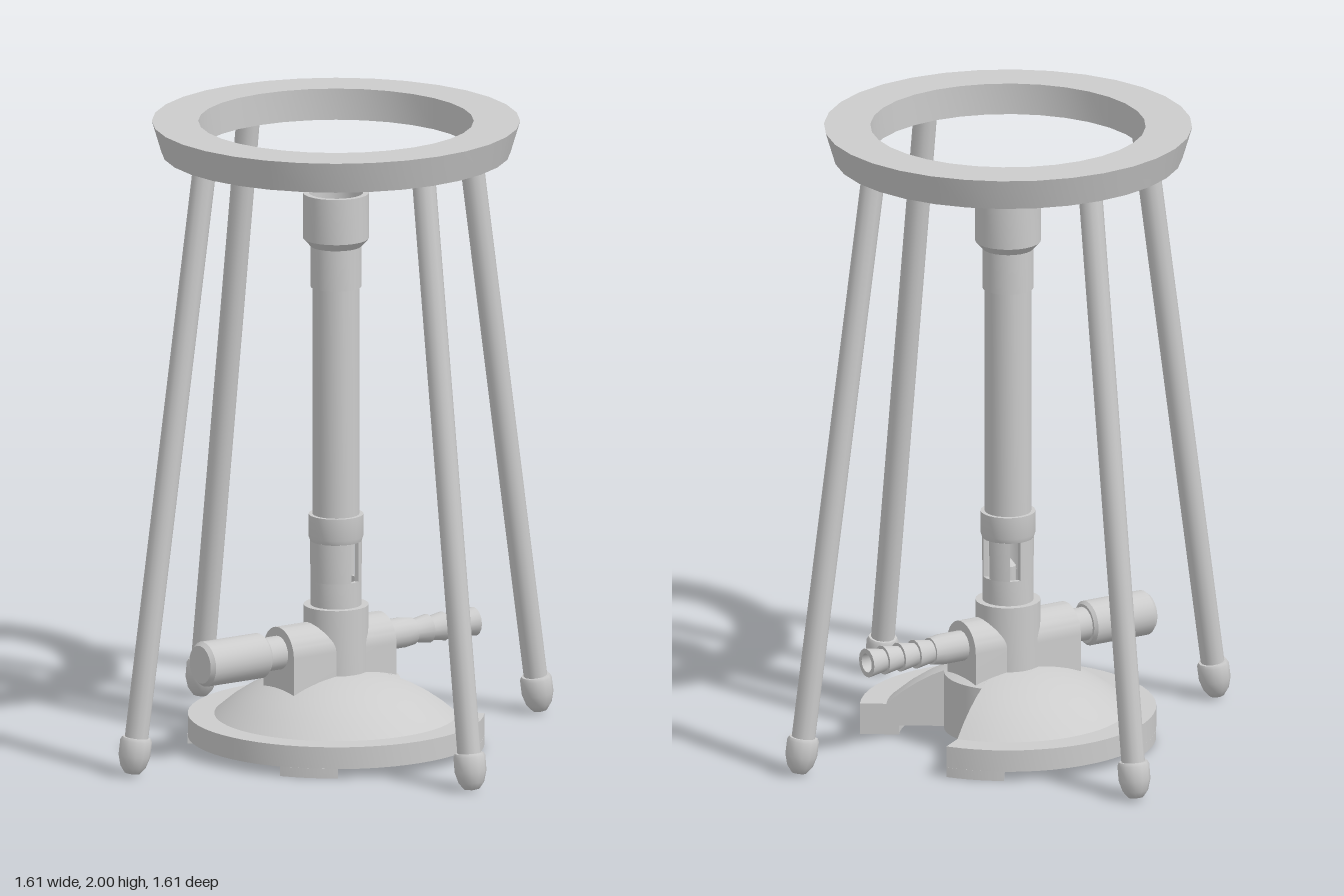
import * as THREE from 'three';
import { toCreasedNormals } from 'three/addons/utils/BufferGeometryUtils.js';

const rad = THREE.MathUtils.degToRad;
const material = new THREE.MeshStandardMaterial({ color: 0xcccccc, side: THREE.DoubleSide });

function mesh(name, geometry, parent, crease = 0.6) {
  const m = new THREE.Mesh(toCreasedNormals(geometry, crease), material);
  m.name = name;
  parent.add(m);
  return m;
}

// Revolve [radius, height] pairs; profiles run bottom outside to top
function lathe(profile, segments = 24, start = 0, length = Math.PI * 2) {
  return new THREE.LatheGeometry(profile.map(([r, y]) => new THREE.Vector2(r, y)), segments, start, length);
}

// Flat ring sector lying in the ground plane, extruded upwards
function sector(inner, outer, from, to, height) {
  const s = new THREE.Shape();
  s.absarc(0, 0, outer, from, to, false);
  s.absarc(0, 0, inner, to, from, true);
  s.closePath();
  return new THREE.ExtrudeGeometry(s, { depth: height, bevelEnabled: false, curveSegments: 8 }).rotateX(-Math.PI / 2);
}

function domeProfile(maxRadius) {
  const R = 0.556, points = [];
  for (let i = 0; i <= 8; i++) {
    const r = maxRadius * (1 - i / 8);
    points.push([r, 0.25 - R + Math.sqrt(R * R - r * r)]);
  }
  return points;
}

function addTripod(root) {
  const tripod = new THREE.Group();
  tripod.name = 'tripod';
  root.add(tripod);
  mesh('supportRing', lathe([[0.43, 1.9], [0.545, 1.9], [0.575, 2], [0.43, 2], [0.43, 1.9]], 32), tripod);

  const lean = Math.atan2(0.272, 1.91);
  for (let i = 0; i < 4; i++) {
    const pivot = new THREE.Group();
    pivot.name = 'leg' + (i + 1);
    pivot.rotation.y = i * Math.PI / 2;
    const leg = new THREE.Group();
    leg.position.set(0.765, 0.004, 0);
    leg.rotation.z = lean;
    pivot.add(leg);
    tripod.add(pivot);
    mesh('legRod', lathe([[0, 0.08], [0.037, 0.08], [0.037, 1.93], [0, 1.93]], 12), leg);
    mesh('footCap', lathe([[0, 0], [0.024, 0.004], [0.04, 0.025], [0.05, 0.06], [0.05, 0.108],
      [0.045, 0.118], [0.036, 0.118]], 12), leg, 0.8);
  }
}

function addBase(root) {
  const base = new THREE.Group();
  base.name = 'base';
  root.add(base);
  const notch = rad(34);
  const profile = [[0, 0.03], [0.463, 0.03], [0.463, 0.1], ...domeProfile(0.38)];
  mesh('domedBase', lathe(profile, 48, Math.PI / 2 + notch, Math.PI * 2 - 2 * notch), base);

  // Core filling the inner end of the notch
  const core = [[0, 0.03], [0.2, 0.03], ...domeProfile(0.2)];
  mesh('baseCore', lathe(core, 12, Math.PI / 2 - notch, 2 * notch), base);

  // Side walls of the notch
  const wall = new THREE.Shape(profile.map(([r, y]) => new THREE.Vector2(r, y)));
  for (const side of [-1, 1]) mesh('notchWall', new THREE.ShapeGeometry(wall).rotateY(side * notch), base);

  // Four low feet under the rim
  for (const a of [34, 123, 214, 303]) {
    mesh('baseFoot', sector(0.34, 0.463, rad(a), rad(a + 23), 0.031), base);
  }
}

function addBurner(root) {
  const burner = new THREE.Group();
  burner.name = 'burner';
  root.add(burner);

  // Arched body lying along x
  const arch = new THREE.Shape();
  arch.moveTo(-0.085, 0.031);
  arch.lineTo(0.085, 0.031);
  arch.lineTo(0.085, 0.318);
  arch.absarc(0, 0.318, 0.085, 0, Math.PI, false);
  arch.closePath();
  const body = new THREE.ExtrudeGeometry(arch, { depth: 0.385, bevelEnabled: false, curveSegments: 16 });
  mesh('valveBody', body.rotateY(Math.PI / 2).translate(-0.215, 0, 0), burner);
  mesh('hub', lathe([[0, 0.1], [0.102, 0.1], [0.102, 0.45], [0, 0.45]]), burner);

  // Air collar with slots between the pillars
  const inner = 0.066;
  const band = (y0, r0, y1, r1) => [[inner, y0], [r0, y0], [r1, y1], [inner, y1], [inner, y0]];
  mesh('airCollarBottom', lathe(band(0.45, 0.08, 0.53, 0.08)), burner);
  mesh('airCollarTop', lathe([[inner, 0.655], [0.081, 0.655], [0.086, 0.67], [0.086, 0.74],
    [inner, 0.74], [inner, 0.655]]), burner);
  const slots = [15, 90, 165], half = 12;
  slots.forEach((s, i) => {
    const from = s + half;
    const to = (i < 2 ? slots[i + 1] : slots[0] + 360) - half;
    mesh('airCollarPillar', lathe(band(0.53, 0.08, 0.655, 0.081), i < 2 ? 5 : 16, rad(from), rad(to - from)), burner);
    for (const a of [from, to]) {
      const edge = new THREE.PlaneGeometry(0.0145, 0.125).translate(0.0733, 0.5925, 0);
      mesh('slotEdge', edge.rotateY(rad(a - 90)), burner);
    }
  });
  mesh('gasJet', lathe([[0.025, 0.45], [0.025, 0.56], [0.01, 0.58], [0, 0.58]], 12), burner);

  // Hollow barrel and wider flame head
  mesh('barrel', lathe([[inner, 0.72], [0.073, 0.72], [0.073, 1.47], [0.08, 1.47], [0.08, 1.6],
    [0.103, 1.625], [0.103, 1.77], [0.085, 1.77], [0.085, 1.68], [inner, 1.68], [inner, 0.72]]), burner);

  // Valve knob pointing to -x
  const knob = mesh('valveKnob', lathe([[0, 0.2], [0.053, 0.2], [0.053, 0.278], [0.062, 0.278], [0.071, 0.288],
    [0.071, 0.497], [0.06, 0.51], [0, 0.51]]), burner, 0.5);
  knob.rotation.z = Math.PI / 2;
  knob.position.y = 0.322;

  // Barbed hose inlet pointing to +x
  const barbs = [[0, 0.16], [0.048, 0.16], [0.048, 0.25], [0.043, 0.285]];
  for (let i = 0; i < 4; i++) {
    const x = 0.285 + i * 0.058;
    barbs.push([0.036, x], [0.046, x + 0.058]);
  }
  barbs.push([0.03, 0.517], [0.03, 0.3], [0, 0.3]);
  const inlet = mesh('hoseInlet', lathe(barbs, 16), burner);
  inlet.rotation.z = -Math.PI / 2;
  inlet.position.y = 0.325;
}

export function createModel() {
  const root = new THREE.Group();
  root.name = 'burnerWithTripod';
  addTripod(root);
  addBase(root);
  addBurner(root);
  return root;
}
